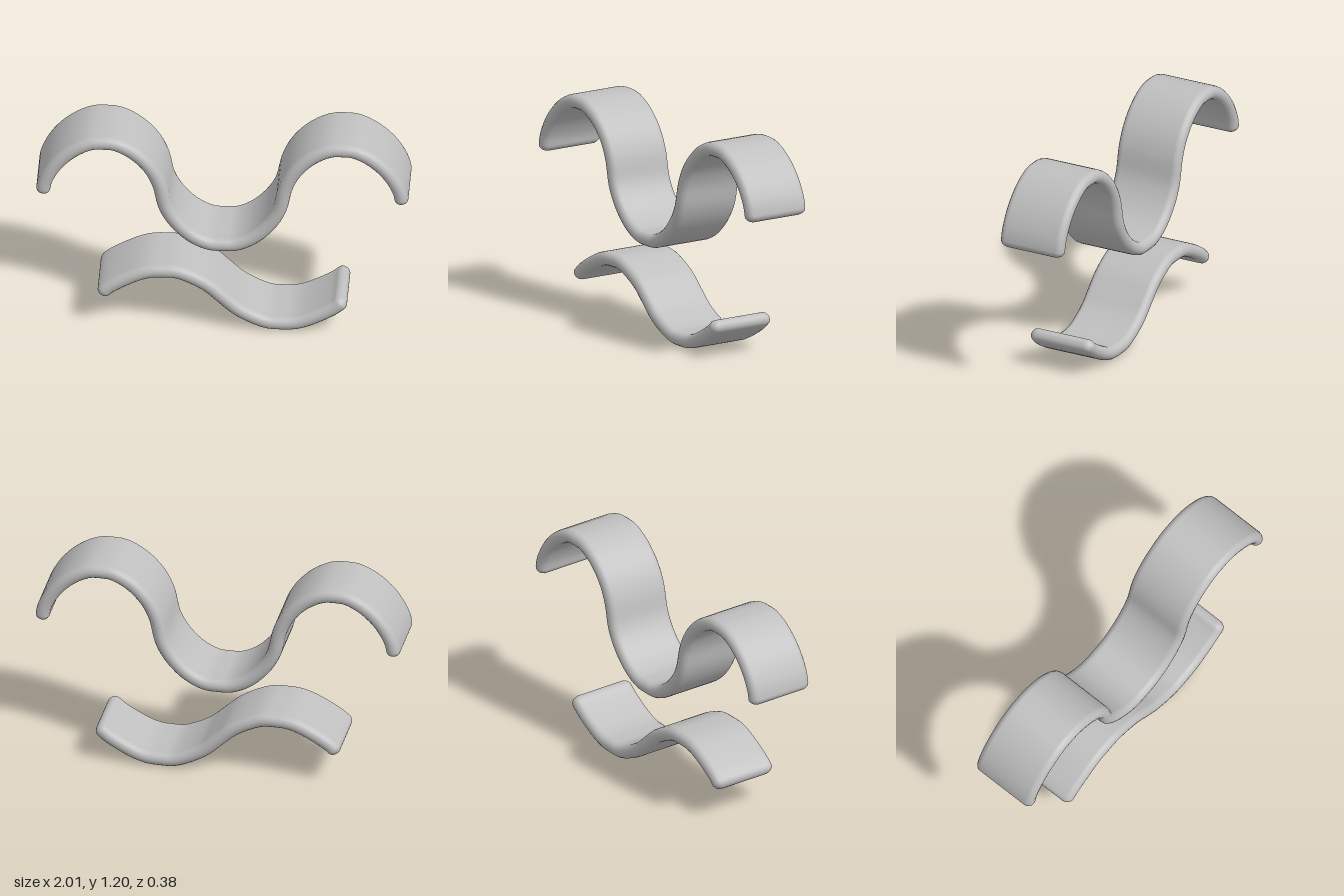
import * as THREE from 'three';

const HALF_THICK = 0.038; // half the band's thickness
const HALF_WIDTH = 0.192; // half the band's depth along z

// Sweeps a round-edged band along a path in the xy plane, with rounded tips.
function makeBand(points, name, material) {
  const curve = new THREE.CatmullRomCurve3(points.map(([x, y]) => new THREE.Vector3(x, y, 0)));
  curve.arcLengthDivisions = 800;
  const length = curve.getLength();
  const capSteps = 6, bodySteps = 90, edgeSteps = 8;

  // Distances along the path, closer together at the tips
  const stations = [];
  for (let i = 0; i < capSteps; i++) {
    stations.push(HALF_THICK * (1 - Math.cos((i / capSteps) * Math.PI / 2)));
  }
  const tips = stations.map((d) => length - d).reverse();
  for (let i = 0; i <= bodySteps; i++) {
    stations.push(HALF_THICK + (length - 2 * HALF_THICK) * i / bodySteps);
  }
  stations.push(...tips);

  const positions = [], indices = [];
  const ring = 2 * (edgeSteps + 1);
  stations.forEach((d, row) => {
    const u = d / length;
    const p = curve.getPointAt(u), t = curve.getTangentAt(u);
    const fromTip = Math.min(d, length - d, HALF_THICK) / HALF_THICK;
    const s = Math.sqrt(Math.max(0, 1 - (1 - fromTip) ** 2));
    const core = HALF_WIDTH - HALF_THICK - 0.015 * (1 - s);
    // Cross-section: two half-round edges joined by flat faces
    for (let side = 0; side < 2; side++) {
      for (let k = 0; k <= edgeSteps; k++) {
        const a = Math.PI * (side + k / edgeSteps);
        const n = Math.cos(a) * HALF_THICK * s;
        const z = Math.sin(a) * HALF_THICK * s + (side ? -core : core);
        positions.push(p.x - t.y * n, p.y + t.x * n, z);
      }
    }
    if (row === 0) return;
    for (let k = 0; k < ring; k++) {
      const k2 = (k + 1) % ring;
      const a = (row - 1) * ring + k, b = (row - 1) * ring + k2;
      const c = row * ring + k, e = row * ring + k2;
      indices.push(a, b, c, b, e, c);
    }
  });

  const geometry = new THREE.BufferGeometry();
  geometry.setAttribute('position', new THREE.Float32BufferAttribute(positions, 3));
  geometry.setIndex(indices);
  geometry.computeVertexNormals();
  const mesh = new THREE.Mesh(geometry, material);
  mesh.name = name;
  return mesh;
}

export function createModel() {
  const group = new THREE.Group();
  group.name = 'wavyBands';
  const grey = new THREE.MeshStandardMaterial({ color: 0xbfbfbf });
  grey.name = 'grey';

  // Upper band: two arches with a trough between, mirrored about x = 0
  const upperHalf = [
    [-0.97, 0.822], [-0.958, 0.9], [-0.9, 1.01], [-0.81, 1.1], [-0.71, 1.152], [-0.645, 1.157],
    [-0.58, 1.152], [-0.48, 1.1], [-0.393, 1.01], [-0.343, 0.91], [-0.308, 0.765],
    [-0.255, 0.67], [-0.165, 0.58], [-0.07, 0.534],
  ];
  const upperMirror = upperHalf.map(([x, y]) => [-x, y]).reverse();
  group.add(makeBand([...upperHalf, [0, 0.53], ...upperMirror], 'upperBand', grey));

  // Lower band: one crest and one trough, turned half way about its middle
  const midY = 0.193;
  const lowerHalf = [
    [-0.66, 0.185], [-0.62, 0.228], [-0.535, 0.283], [-0.44, 0.329], [-0.38, 0.345],
    [-0.315, 0.348], [-0.25, 0.345], [-0.18, 0.321], [-0.08, 0.265],
  ];
  const lowerTurned = lowerHalf.map(([x, y]) => [-x, 2 * midY - y]).reverse();
  group.add(makeBand([...lowerHalf, [0, midY], ...lowerTurned], 'lowerBand', grey));

  return group;
}
